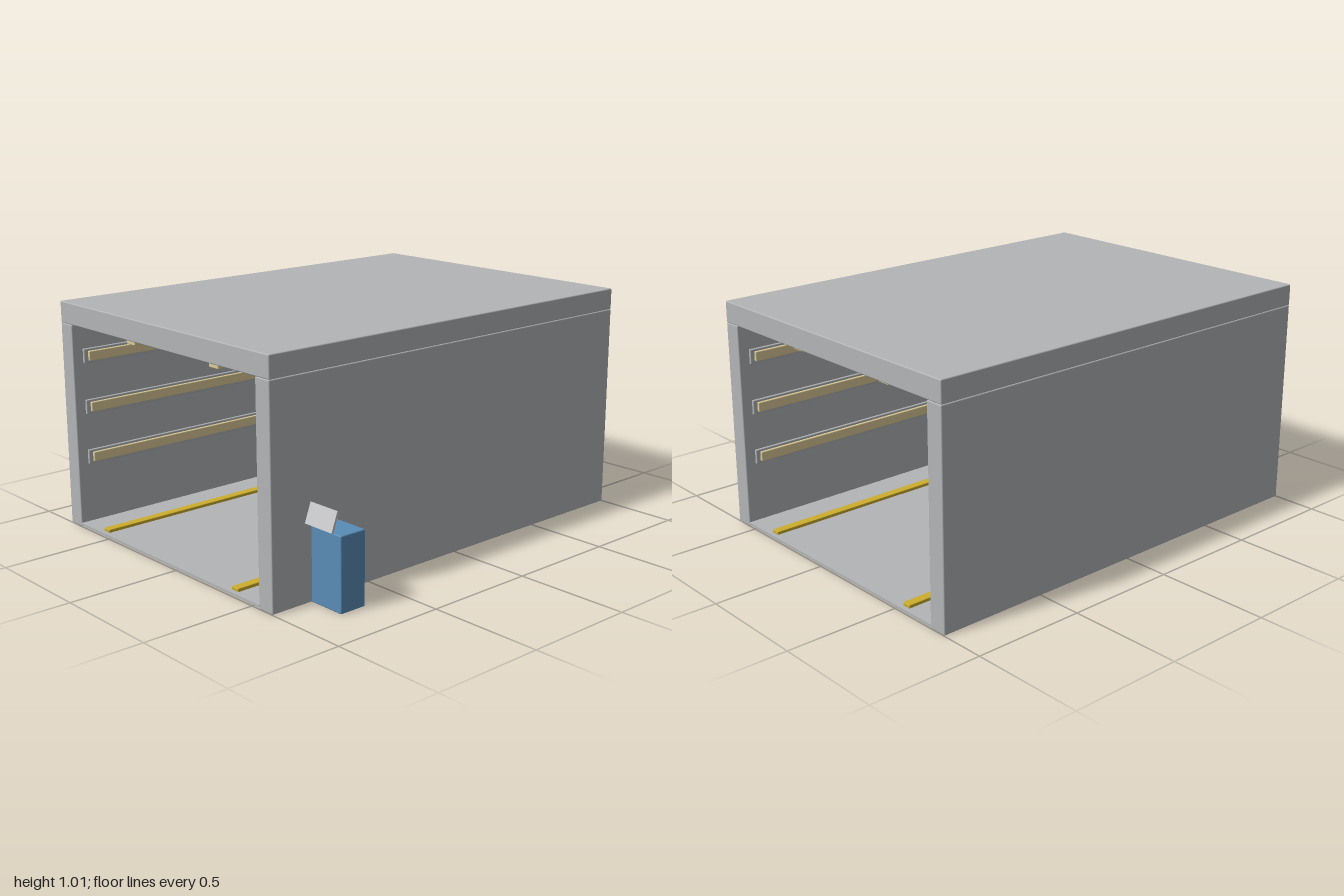
import * as THREE from 'three';
import { RoundedBoxGeometry } from 'three/addons/geometries/RoundedBoxGeometry.js';

const mat = (name, color) => {
  const m = new THREE.MeshStandardMaterial({ color });
  m.name = name;
  return m;
};

export function createModel() {
  const group = new THREE.Group();
  group.name = 'washTunnel';
  const grey = mat('panelGrey', 0xb2b4b6);
  const blue = mat('cabinetBlue', 0x5a8cb6);
  const cream = mat('lampCream', 0xdccb98);
  const yellow = mat('guideYellow', 0xcdae2c);
  const pale = mat('screenGrey', 0xc8c8cb);

  // Box given by its limits on each axis, with softly bevelled edges
  const block = (name, material, [x0, x1], [y0, y1], [z0, z1], bevel = 0.005) => {
    const size = [x1 - x0, y1 - y0, z1 - z0];
    const geo = bevel ? new RoundedBoxGeometry(...size, 2, bevel) : new THREE.BoxGeometry(...size);
    const mesh = new THREE.Mesh(geo, material);
    mesh.name = name;
    mesh.position.set((x0 + x1) / 2, (y0 + y1) / 2, (z0 + z1) / 2);
    group.add(mesh);
    return mesh;
  };
  const around = (c, half) => [c - half, c + half];
  const full = [-1, 1];

  // Shell, open at both ends
  block('rightWall', grey, [-0.8, -0.718], [0, 0.917], full);
  block('leftWall', grey, [0.543, 0.625], [0, 0.917], full);
  block('roof', grey, [-0.8, 0.625], [0.917, 1.012], full);
  block('floor', grey, [-0.72, 0.545], [0.006, 0.017], full, 0);

  // Guide rails on the floor
  for (const x of [-0.545, 0.368]) {
    block('guideRail', yellow, around(x, 0.02), [0.015, 0.031], [-0.98, 0.98], 0.003);
  }

  // Lamps along both walls
  for (const y of [0.315, 0.543, 0.772]) {
    block('rightLampHousing', grey, [-0.722, -0.708], around(y, 0.033), [-0.95, 0.95], 0.004);
    block('rightLamp', cream, [-0.712, -0.697], around(y, 0.022), [-0.93, 0.93], 0.004);
    block('leftLampHousing', grey, [0.533, 0.547], around(y, 0.033), [-0.95, 0.95], 0.004);
    block('leftLamp', cream, [0.522, 0.537], around(y, 0.022), [-0.93, 0.93], 0.004);
  }

  // Lamps under the roof
  for (const x of [-0.373, 0.198]) {
    block('ceilingLampHousing', grey, around(x, 0.043), [0.899, 0.92], [-0.95, 0.95], 0.004);
    block('ceilingLamp', cream, around(x, 0.03), [0.875, 0.902], [-0.93, 0.93], 0.004);
  }

  // Control cabinet with its tilted screen
  block('controlCabinet', blue, [0.625, 0.796], [0, 0.315], [0.68, 0.805]);
  const screen = block('controlScreen', pale, [0.625, 0.778], [0.325, 0.411], [0.811, 0.821], 0);
  screen.rotation.x = -0.35;

  return group;
}
